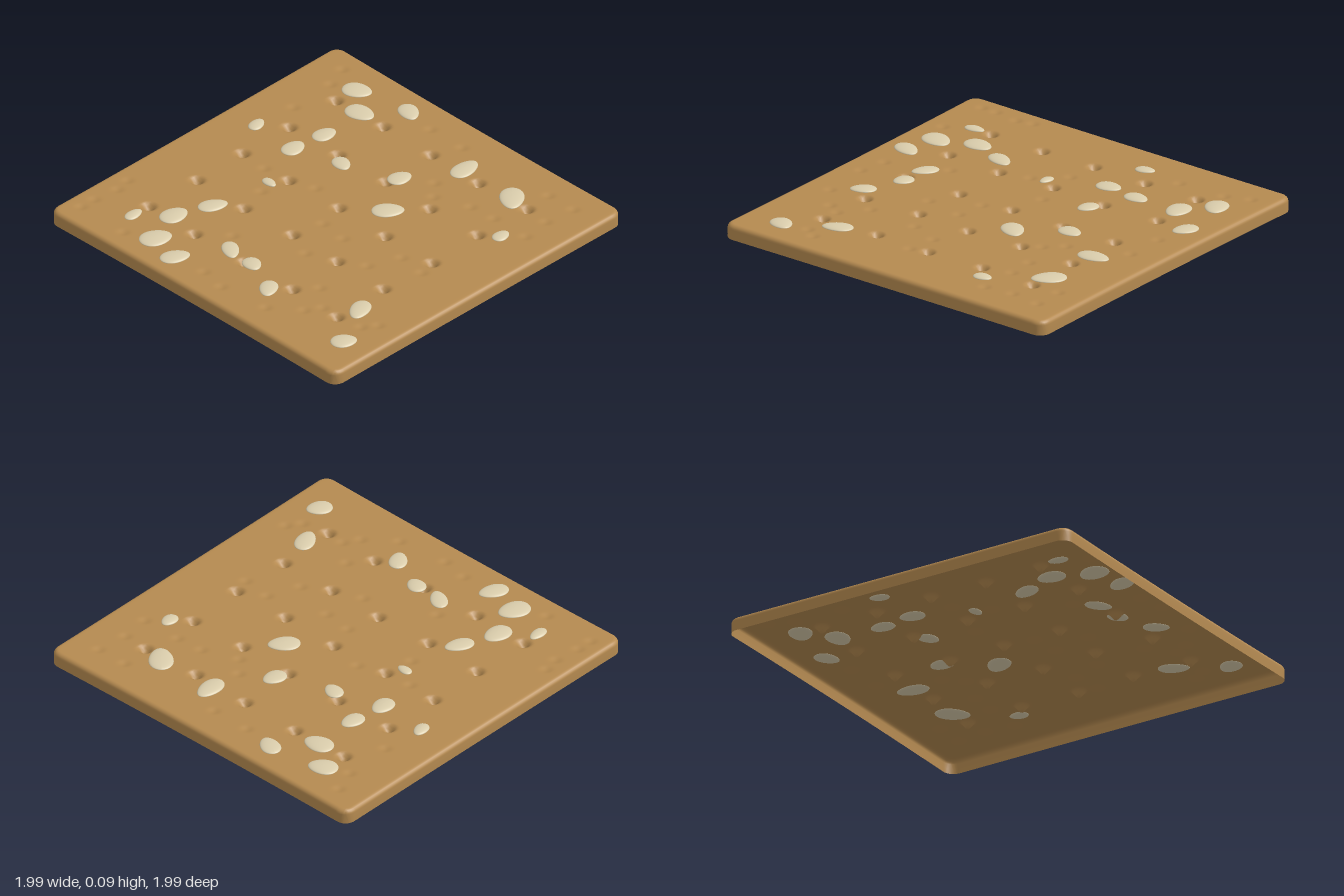
import * as THREE from 'three';

const TOP = 0.076, HALF = 0.997, CORNER = 0.06, BEVEL = 0.024;

// Small dents in the surface: x, z pairs
const DENTS = [
  [-0.83, -0.87], [-0.78, -0.74], [-0.77, -0.47], [-0.16, -0.82], [0.06, -0.82], [0.65, -0.83], [0.82, -0.83],
  [0.8, -0.66], [0.18, -0.51], [0.45, -0.49], [0.6, -0.5], [0.82, -0.5], [0.26, -0.42], [-0.2, -0.06],
  [-0.5, 0.0], [-0.37, 0.15], [0.04, 0.13], [0.2, 0.15], [0.52, 0.06], [0.68, 0.08], [0.45, 0.23],
  [0.16, 0.37], [-0.9, 0.55], [-0.88, 0.64], [-0.9, 0.78], [-0.9, 0.87], [-0.2, 0.52], [0.42, 0.53],
  [0.85, 0.55], [0.8, 0.62], [0.55, 0.64], [0.5, 0.72], [-0.08, 0.84], [0.07, 0.87], [0.35, 0.84], [-0.6, 0.88],
];

// Nuts: x, z, half length, half width, turn in degrees
const NUTS = [
  [-0.65, -0.79, 0.077, 0.06, 25], [-0.34, -0.84, 0.07, 0.05, -25], [-0.505, -0.665, 0.08, 0.06, 8],
  [0.2, -0.69, 0.087, 0.053, 95], [0.54, -0.68, 0.09, 0.062, -45], [-0.495, -0.41, 0.067, 0.048, 85],
  [0.03, -0.41, 0.065, 0.05, 80], [0.73, -0.415, 0.05, 0.037, 95], [-0.26, -0.295, 0.058, 0.044, -20],
  [-0.79, -0.235, 0.052, 0.035, 105], [-0.52, -0.22, 0.068, 0.051, 95], [0.185, -0.175, 0.082, 0.057, 50],
  [-0.395, 0.07, 0.043, 0.027, -5], [-0.45, 0.405, 0.077, 0.048, 65], [-0.525, 0.6, 0.078, 0.058, 85],
  [-0.67, 0.735, 0.055, 0.032, 95], [-0.45, 0.8, 0.085, 0.065, 70], [-0.27, 0.845, 0.078, 0.052, 65],
  [-0.12, 0.61, 0.071, 0.043, -35], [0.04, 0.62, 0.056, 0.046, -20], [0.245, 0.71, 0.067, 0.046, -55],
  [0.69, 0.52, 0.08, 0.05, -65], [0.825, 0.765, 0.067, 0.054, 60],
];

// Five rows of deep docking holes, then the shallow dents: x, z, radius, depth
const hollows = DENTS.map(([x, z]) => [x, z, 0.04, 0.007]);
[-0.665, -0.34, -0.015, 0.31, 0.64].forEach((z, j) =>
  [-0.665, -0.335, 0, 0.325, 0.65].forEach((x, i) =>
    hollows.push([x + 0.008 * Math.sin(i * 5 + j * 3), z + 0.006 * Math.cos(i * 4 + j * 7), 0.045, 0.04])));

function surfaceDrop(x, z) {
  let drop = 0;
  for (const [hx, hz, r, depth] of hollows) {
    const d = Math.hypot(x - hx, z - hz) / r;
    if (d < 1) drop = Math.max(drop, depth * (1 - d) ** 2 * (1 + 2 * d));
  }
  return drop;
}

// Edge profile: distance past the core -> [outward offset, height]
const FLAT = CORNER - BEVEL, ARC = BEVEL * Math.PI / 2;
function edgeProfile(t) {
  if (t <= FLAT) return [t, TOP];
  if (t <= FLAT + ARC) {
    const a = (t - FLAT) / BEVEL;
    return [FLAT + BEVEL * Math.sin(a), TOP - BEVEL + BEVEL * Math.cos(a)];
  }
  return [CORNER, TOP - BEVEL - (t - FLAT - ARC)];
}

// Open shell: a sheet folded down over a rounded square
function shellGeometry() {
  const core = HALF - CORNER, N = 170;
  const rim = [0.018, FLAT];
  for (let i = 1; i <= 5; i++) rim.push(FLAT + ARC * i / 5);
  rim.push(FLAT + ARC + (TOP - BEVEL) / 2, FLAT + ARC + TOP - BEVEL);
  const line = [...rim].reverse().map(t => -core - t);
  for (let i = 0; i <= N; i++) line.push(-core + 2 * core * i / N);
  line.push(...rim.map(t => core + t));

  const positions = [], index = [], n = line.length;
  for (const v of line) for (const u of line) {
    const cx = THREE.MathUtils.clamp(u, -core, core), cz = THREE.MathUtils.clamp(v, -core, core);
    const dx = u - cx, dz = v - cz, len = Math.hypot(dx, dz) || 1;
    const [out, y] = edgeProfile(Math.max(Math.abs(dx), Math.abs(dz)));
    const x = cx + out * dx / len, z = cz + out * dz / len;
    // Sides bow in a little halfway along
    const bowX = 1 - 0.003 * (1 - z * z), bowZ = 1 - 0.009 * (1 - x * x);
    positions.push(x * bowX, Math.max(0, y - surfaceDrop(x, z)), z * bowZ);
  }
  for (let j = 0; j < n - 1; j++) for (let i = 0; i < n - 1; i++) {
    const a = j * n + i, b = a + 1, c = a + n, d = c + 1;
    index.push(a, c, b, b, c, d);
  }
  const geometry = new THREE.BufferGeometry();
  geometry.setAttribute('position', new THREE.Float32BufferAttribute(positions, 3));
  geometry.setIndex(index);
  geometry.computeVertexNormals();
  return geometry;
}

export function createModel() {
  const crust = new THREE.MeshStandardMaterial({ color: 0xb58a50, side: THREE.DoubleSide });
  crust.name = 'baked crust';
  const nut = new THREE.MeshStandardMaterial({ color: 0xd9ccab });
  nut.name = 'pale nut';

  const model = new THREE.Group();
  model.name = 'cracker';

  const shell = new THREE.Mesh(shellGeometry(), crust);
  shell.name = 'crackerShell';
  model.add(shell);

  // Flat nut pieces pressed through the top, slightly narrower at one end
  const nutGeometry = new THREE.SphereGeometry(1, 28, 16);
  const p = nutGeometry.attributes.position;
  for (let i = 0; i < p.count; i++) p.setZ(i, p.getZ(i) * (1 - 0.15 * p.getX(i)));
  nutGeometry.computeVertexNormals();
  const nuts = new THREE.Group();
  nuts.name = 'nuts';
  NUTS.forEach(([x, z, a, b, turn], i) => {
    const piece = new THREE.Mesh(nutGeometry, nut);
    piece.name = `nut${i + 1}`;
    piece.position.set(x, TOP + 0.001, z);
    piece.rotation.y = THREE.MathUtils.degToRad(turn);
    piece.scale.set(a, 0.009 + 0.08 * b, b);
    nuts.add(piece);
  });
  model.add(nuts);
  return model;
}
